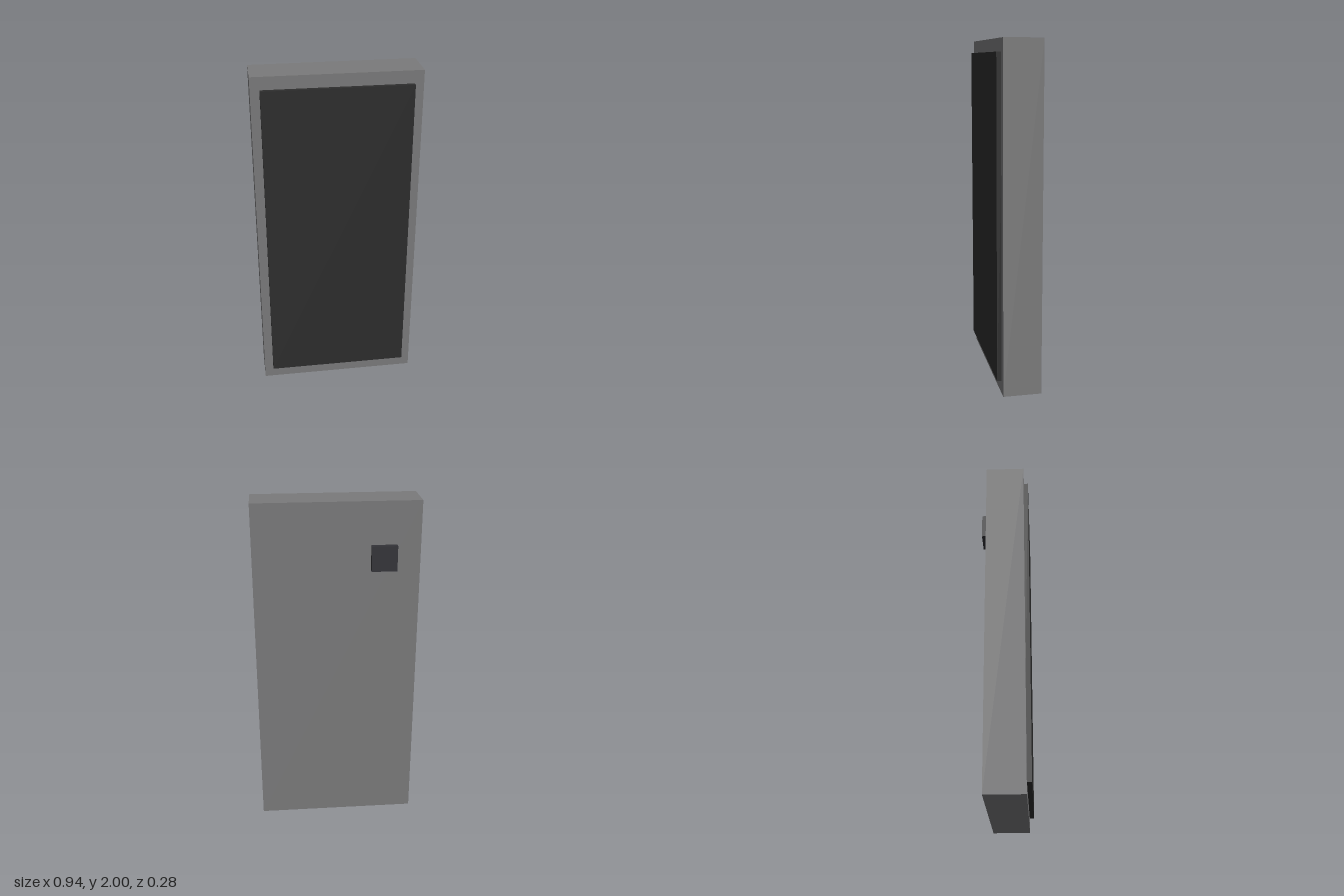
import * as THREE from 'three';

// Box given by its minimum and maximum corners
function addBox(group, name, color, min, max) {
  const size = max.map((v, i) => v - min[i]);
  const mesh = new THREE.Mesh(
    new THREE.BoxGeometry(...size),
    new THREE.MeshStandardMaterial({ color })
  );
  mesh.position.set(...max.map((v, i) => (v + min[i]) / 2));
  mesh.name = name;
  group.add(mesh);
}

export function createModel() {
  const group = new THREE.Group();
  group.name = 'phone';

  // Slab body
  addBox(group, 'body', 0x7a7a7b, [-0.472, 0, -0.109], [0.472, 2, 0.114]);
  // Raised screen on the front, seated slightly into the body
  addBox(group, 'screen', 0x2d2d2d, [-0.42, 0.075, 0.1], [0.42, 1.927, 0.14]);
  // Square camera bump on the upper back
  addBox(group, 'camera', 0x333338, [-0.338, 1.61, -0.142], [-0.193, 1.755, -0.1]);

  return group;
}
